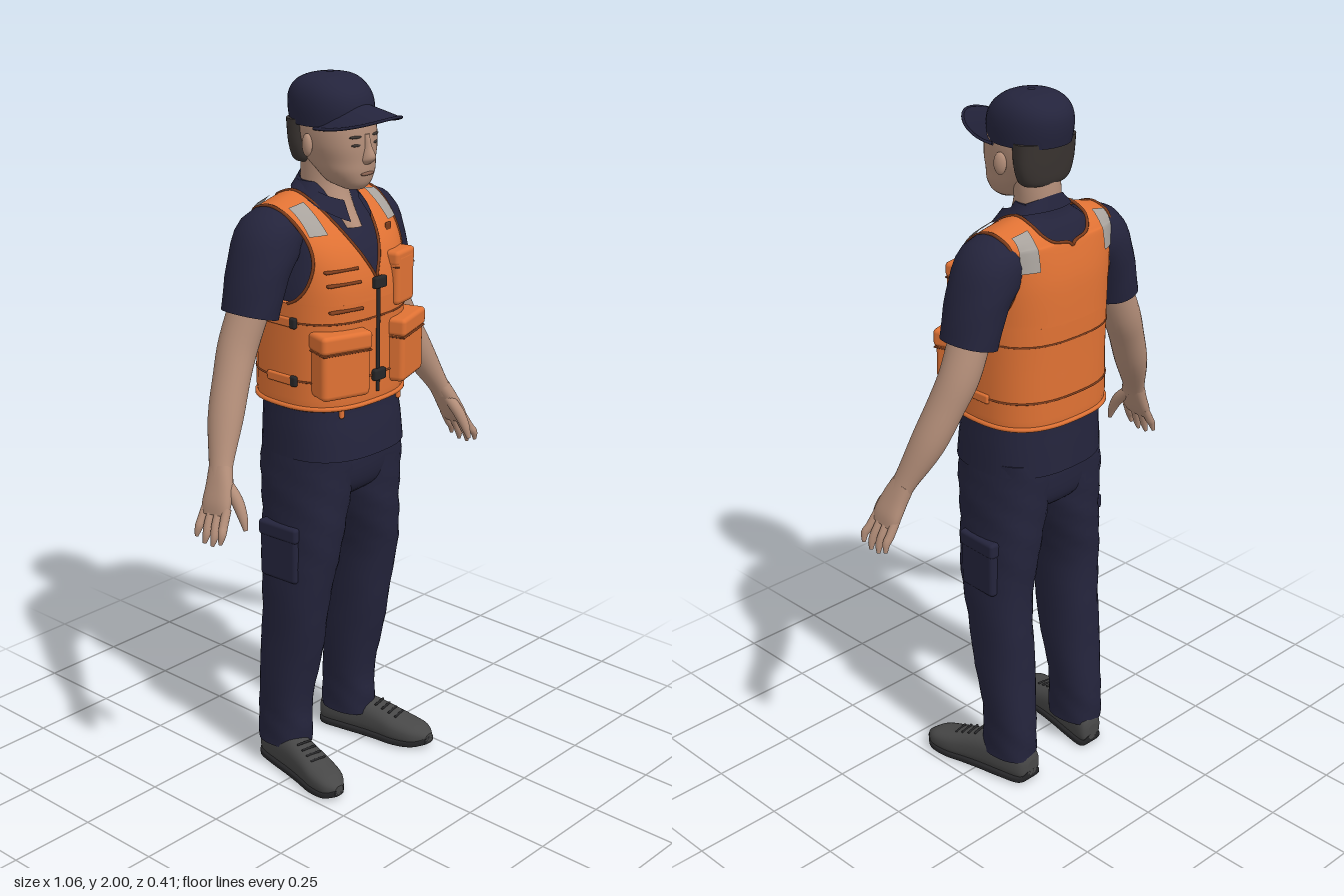
import * as THREE from 'three';
import { RoundedBoxGeometry } from 'three/addons/geometries/RoundedBoxGeometry.js';

const V = (x, y, z) => new THREE.Vector3(x, y, z);
const lerp = THREE.MathUtils.lerp;
const flat = (name, color, side = THREE.FrontSide) => {
  const m = new THREE.MeshStandardMaterial({ color, side });
  m.name = name;
  return m;
};

// Smooth interpolation through rows of numbers
function sample(keys, t) {
  const last = keys.length - 1, i = Math.min(Math.floor(t), last - 1), f = t - i;
  const row = j => keys[Math.min(last, Math.max(0, j))];
  return keys[0].map((_, k) => {
    const [a, b, c, d] = [row(i - 1)[k], row(i)[k], row(i + 1)[k], row(i + 2)[k]];
    return b + 0.5 * f * (c - a + f * (2 * a - 5 * b + 4 * c - d + f * (3 * (b - c) + d - a)));
  });
}
const dense = (keys, k = 4) =>
  Array.from({ length: (keys.length - 1) * k + 1 }, (_, i) => sample(keys, i / k));

// Superellipse ring with half axes u and v, optionally wrinkled
function ring(c, u, v, n = 2, wrinkle = 0, seg = 36) {
  return Array.from({ length: seg }, (_, i) => {
    const a = i / seg * Math.PI * 2, p = q => Math.sign(q) * Math.abs(q) ** (2 / n);
    const w = 1 + wrinkle * Math.sin(3 * a + c.y * 45) * Math.sin(c.y * 23 + a);
    return c.clone().addScaledVector(u, p(Math.cos(a)) * w).addScaledVector(v, p(Math.sin(a)) * w);
  });
}

// Closed skin over a stack of rings, with sharp flat ends
function loft(rings) {
  const n = rings[0].length, pts = rings.flat(), idx = [];
  for (let r = 0; r < rings.length - 1; r++) for (let i = 0; i < n; i++) {
    const j = (i + 1) % n, a = r * n + i, b = r * n + j;
    idx.push(a, b, b + n, a, b + n, a + n);
  }
  [rings[0], rings[rings.length - 1]].forEach((end, e) => {
    const o = pts.length, c = V(0, 0, 0);
    end.forEach(p => c.addScaledVector(p, 1 / n));
    pts.push(...end, c);
    for (let i = 0; i < n; i++) {
      const j = (i + 1) % n;
      e ? idx.push(o + i, o + j, o + n) : idx.push(o + j, o + i, o + n);
    }
  });
  let vol = 0;
  for (let i = 0; i < idx.length; i += 3)
    vol += pts[idx[i]].dot(pts[idx[i + 1]].clone().cross(pts[idx[i + 2]]));
  if (vol < 0) idx.reverse();
  const g = new THREE.BufferGeometry().setFromPoints(pts).setIndex(idx);
  g.computeVertexNormals();
  return g;
}

// Stack of level sections: [y, half width, front z, back z, centre x]
const layers = (keys, n = 2, wrinkle = 0) => loft(dense(keys).map(([y, a, f, b, x = 0]) =>
  ring(V(x, y, (f + b) / 2), V(a, 0, 0), V(0, 0, (b - f) / 2), n, wrinkle)));

// Limb along a path: [x, y, z, radius across, radius front to back]
function limb(keys, s, n = 2, wrinkle = 0) {
  const rows = dense(keys), P = rows.map(r => V(r[0] * s, r[1], r[2]));
  return loft(rows.map((r, i) => {
    const t = P[Math.min(i + 1, P.length - 1)].clone().sub(P[Math.max(i - 1, 0)]).normalize();
    const v = V(0, 0, 1).addScaledVector(t, -t.z).normalize(), u = v.clone().cross(t);
    return ring(P[i], u.multiplyScalar(r[3]), v.multiplyScalar(r[4]), n, wrinkle, 24);
  }));
}

// Open sheet from fn(u, v)
function sheet(fn, nu, nv) {
  const g = new THREE.PlaneGeometry(1, 1, nu, nv), p = g.attributes.position;
  for (let i = 0; i < p.count; i++) p.setXYZ(i, ...fn(p.getX(i) + 0.5, p.getY(i) + 0.5).toArray());
  g.computeVertexNormals();
  return g;
}
const tube = (pts, r, closed = false) =>
  new THREE.TubeGeometry(new THREE.CatmullRomCurve3(pts, closed), pts.length * 2, r, 6, closed);

// Vest over the shoulder, front to back: [y, centre z, side z, inner x, outer x, slope]
const STRAP = [
  [1.42, .145, -.0275, 0, .199, 0], [1.47, .14, -.02, 0, .186, 0], [1.53, .122, -.01, .03, .174, 0],
  [1.58, .092, -.01, .055, .172, 0], [1.63, .045, -.02, .075, .178, .005], [1.67, -.01, -.04, .087, .184, .015],
  [1.692, -.07, -.07, .093, .186, .025], [1.677, -.125, -.1, .092, .186, .02], [1.657, -.15, -.11, .083, .184, .012],
  [1.637, -.168, -.1, .058, .182, .006], [1.618, -.178, -.09, 0, .18, 0], [1.53, -.195, -.06, 0, .174, 0],
  [1.42, -.2, -.0275, 0, .199, 0]];
const vestEdge = (t, k) => Math.max(0, sample(STRAP, t)[k]);
function vestPoint(t, x, s, out = 0) {
  const [y, zf, zm, xi, xo, drop] = sample(STRAP, t);
  const z = zm + (zf - zm) * Math.max(0, 1 - (x / .2) ** 2.6) ** (1 / 2.6);
  return V(x * s, y - drop * (x - xi) / (xo - xi) + out, z + (t < 6 ? out : -out));
}

export function createModel() {
  const model = new THREE.Group();
  model.name = 'worker';
  const navy = flat('navy cloth', 0x24243c, THREE.DoubleSide), orange = flat('orange cloth', 0xe07234, THREE.DoubleSide);
  const skin = flat('skin', 0xb28d78), shoe = flat('shoe grey', 0x474747), black = flat('black trim', 0x262628);
  const silver = flat('reflective grey', 0xa8a29c, THREE.DoubleSide), seam = flat('dark orange seam', 0x7c3c1c);
  const hair = flat('hair', 0x3a3431), lip = flat('lips', 0x86604f);
  const add = (name, geo, mat, x = 0, y = 0, z = 0, yaw = 0) => {
    const m = new THREE.Mesh(geo, mat);
    m.name = name;
    m.position.set(x, y, z);
    m.rotation.y = yaw;
    model.add(m);
    return m;
  };
  const box = (name, mat, w, h, d, x, y, z, yaw = 0, r = .006) =>
    add(name, new RoundedBoxGeometry(w, h, d, 2, Math.min(r, w / 2.1, h / 2.1, d / 2.1)), mat, x, y, z, yaw);
  const ball = (name, mat, rx, ry, rz, x, y, z, yaw = 0) =>
    add(name, new THREE.SphereGeometry(1, 16, 12), mat, x, y, z, yaw).scale.set(rx, ry, rz);

  // Head and face
  add('head', layers([[1.703, .025, .085, .03], [1.72, .05, .1, -.02], [1.75, .07, .106, -.05], [1.78, .08, .106, -.085],
    [1.82, .092, .106, -.105], [1.87, .096, .1, -.115], [1.91, .088, .088, -.11]], 2.3), skin);
  add('neck', layers([[1.6, .045, .078, -.1], [1.66, .058, .035, -.11], [1.72, .062, .012, -.112], [1.79, .066, .02, -.105]]), skin);
  add('nose', layers([[1.772, .012, .11, .09], [1.782, .019, .124, .08], [1.795, .017, .129, .08], [1.82, .011, .117, .08],
    [1.85, .011, .108, .08]]), skin);
  add('hair', layers([[1.765, .07, -.04, -.106], [1.78, .085, -.035, -.111], [1.82, .097, -.03, -.116], [1.88, .1, -.025, -.122]], 2.4), hair);
  ball('mouth', lip, .026, .005, .006, 0, 1.747, .105);
  for (const s of [1, -1]) {
    ball('ear', skin, .012, .03, .018, s * .1, 1.82, -.015, s * .3);
    ball('eye', hair, .015, .004, .004, s * .036, 1.824, .098, s * .25);
    ball('eyebrow', hair, .02, .004, .005, s * .037, 1.845, .096, s * .25);
  }

  // Cap
  add('capCrown', layers([[1.868, .101, .09, -.133], [1.91, .104, .095, -.14], [1.945, .1, .085, -.137], [1.972, .086, .06, -.118],
    [1.989, .06, .03, -.085], [1.996, .012, -.015, -.04]], 2.15), navy);
  ball('capButton', navy, .01, .005, .01, 0, 1.995, -.027);
  const brim = (u, v) => {
    const a = (u - .5) * Math.PI, q = Math.sin(a) ** 2;
    return V(Math.sin(a) * lerp(.099, .102, v), lerp(1.925 - .055 * q, 1.904 - .038 * q, v), lerp(.01 + .075 * Math.cos(a), .01 + .19 * Math.cos(a), v));
  };
  add('capBrim', sheet(brim, 28, 8), navy);
  add('capBrimEdge', tube(Array.from({ length: 21 }, (_, i) => brim(i / 20, 1)), .004), navy);

  // Shirt
  add('shirtBody', layers([[.985, .196, .152, -.188], [1.06, .194, .142, -.184], [1.13, .19, .13, -.18], [1.25, .187, .126, -.176],
    [1.42, .184, .128, -.185], [1.53, .165, .105, -.18], [1.6, .155, .06, -.158], [1.65, .135, .022, -.14],
    [1.685, .09, .005, -.122], [1.715, .068, -.01, -.115]], 2.5), navy);
  add('collar', sheet((u, v) => {
    const a = (u - .5) * 1.74 * Math.PI, f = (1 - Math.cos(a)) / 2;
    return V(Math.sin(a) * lerp(.069, .098, v), lerp(1.738 - .068 * f, 1.7 - .085 * f * f, v),
      -.04 - Math.cos(a) * lerp(.072 + .025 * f, .082 + .055 * f, v));
  }, 36, 4), navy);

  // Vest: lower wrap, hems and seams
  const wrap = (y, grow) => ring(V(0, y, -.0275), V(.2 + grow, 0, 0), V(0, 0, -.1725 - grow), 2.6);
  add('vestLower', loft([[1.13, -.004], [1.16, 0], [1.28, -.002], [1.37, 0], [1.42, 0]].map(r => wrap(...r))), orange);
  for (const y of [1.21, 1.37]) add('vestSeam', tube(wrap(y, -.001), .003, true), seam);
  add('vestHem', tube(wrap(1.135, -.002), .007, true), orange);
  box('zip', black, .012, .31, .008, 0, 1.315, .146);
  for (const y of [1.465, 1.21]) box('buckle', black, .046, .032, .018, 0, y, .15);

  for (const s of [1, -1]) {
    // Vest shoulder panels with piping and reflective patches
    add('vestUpper', sheet((u, v) => {
      const t = v * 12;
      return vestPoint(t, lerp(vestEdge(t, 3), vestEdge(t, 4), Math.sin(u * Math.PI / 2)), s);
    }, 14, 72), orange);
    const edge = (k, t0, t1) => tube(Array.from({ length: 37 }, (_, i) => {
      const t = lerp(t0, t1, i / 36);
      return vestPoint(t, vestEdge(t, k), s);
    }), .0045);
    add('armholePiping', edge(4, 0, 12), seam);
    add('necklinePiping', edge(3, 1, 10), seam);
    for (const [t0, t1] of [[3.3, 5.1], [7.1, 10.6]])
      add('reflectivePatch', sheet((u, v) => vestPoint(lerp(t0, t1, v), lerp(.118, .168, u), s, .005), 4, 10), silver);

    // Lower pockets, side tabs and hem tabs
    box('lowerPocket', orange, .145, .165, .075, s * .122, 1.255, .122, s * .32, .015);
    box('lowerPocketFlap', orange, .152, .05, .086, s * .122, 1.327, .122, s * .32, .012);
    box('lowerPocketSeam', seam, .148, .005, .081, s * .122, 1.3, .122, s * .32);
    for (const y of [1.21, 1.37]) {
      box('sideStrap', orange, .012, .026, .1, s * .2, y, -.02);
      box('sideBuckle', black, .014, .03, .022, s * .2, y, .025);
    }
    box('hemTab', orange, .014, .03, .012, s * .115, 1.12, .12);

    // Sleeves, arms and hands
    add('sleeve', limb([[.11, 1.605, -.07, .05, .07], [.185, 1.582, -.07, .083, .093], [.235, 1.5, -.068, .073, .092],
      [.266, 1.39, -.068, .066, .083]], s, 2.1, .015), navy);
    add('arm', limb([[.255, 1.43, -.07, .05, .06], [.303, 1.32, -.074, .052, .056], [.342, 1.24, -.062, .047, .053],
      [.39, 1.14, -.04, .043, .05], [.44, 1.04, -.008, .027, .036], [.456, 1.005, .004, .024, .036]], s), skin);
    add('palm', limb([[.446, 1.03, -.004, .024, .034], [.466, .985, .01, .022, .042], [.485, .945, .018, .019, .047],
      [.497, .918, .022, .012, .044]], s, 2.4), skin);
    for (const o of [-.036, -.012, .012, .036]) {
      const len = Math.abs(o + .006) < .02 ? 0 : .012;
      add('finger', limb([[.485, .94, .02 + o, .012, .012], [.508, .9, .025 + o * 1.12, .012, .0115],
        [.52, .87 + len, .029 + o * 1.2, .0105, .0105], [.526, .846 + len, .027 + o * 1.22, .005, .005]], s), skin);
    }
    add('thumb', limb([[.455, 1, .02, .016, .016], [.456, .96, .062, .016, .017], [.459, .92, .087, .013, .013],
      [.461, .885, .1, .006, .006]], s), skin);

    // Trouser leg and cargo pocket
    add('trouserLeg', layers([[.075, .063, 0, -.16, s * .136], [.13, .064, .004, -.162, s * .136], [.22, .066, .006, -.16, s * .135],
      [.4, .075, .042, -.145, s * .133], [.6, .078, .08, -.14, s * .133], [.72, .087, .098, -.148, s * .12],
      [.82, .094, .11, -.158, s * .107], [.92, .098, .115, -.162, s * .1], [1.02, .096, .115, -.16, s * .097]], 2.3, .035), navy);
    box('cargoPocket', navy, .03, .16, .13, s * .2, .7, -.03, s * -.05, .012);
    box('cargoFlap', navy, .036, .045, .136, s * .2, .765, -.03, s * -.05, .01);

    // Shoe: [z, bottom, top, half width]
    const SHOE = [[-.163, .02, .07, .018], [-.148, .004, .1, .04], [-.08, .004, .112, .046], [-.02, .004, .112, .046],
      [.04, .004, .098, .048], [.1, .004, .08, .052], [.155, .008, .066, .043], [.187, .018, .045, .016]];
    const cx = z => s * (.13 + (z + .15) * .2);
    add('shoe', loft(dense(SHOE).map(([z, b, t, w]) =>
      ring(V(cx(z), (b + t) / 2, z), V(w, 0, 0), V(0, (t - b) / 2, 0), 2.5))), shoe);
    add('sole', loft(dense(SHOE).map(([z, b, , w]) =>
      ring(V(cx(z), b + .008, z), V(w + .002, 0, 0), V(0, .012, 0), 4))), black);
    for (let i = 0; i < 4; i++) {
      const z = .02 + i * .022;
      box('lace', black, .05, .006, .007, cx(z), .105 - i * .0072, z, s * .2);
    }
  }

  // Trouser seat
  add('trouserSeat', layers([[.845, .06, .06, -.11], [.88, .17, .1, -.15], [.94, .194, .116, -.162], [1.03, .19, .116, -.162]], 2.5), navy);

  // Chest details: pocket on the left, zipped slits on the right
  box('chestPocket', orange, .09, .14, .05, .11, 1.452, .122, .2, .014);
  box('chestPocketFlap', orange, .096, .042, .06, .11, 1.51, .116, .2, .012);
  box('chestPocketSeam', seam, .092, .004, .055, .11, 1.488, .118, .2);
  box('chestLoop', seam, .026, .04, .008, .11, 1.575, .082, .2);
  for (const [y, z] of [[1.51, .112], [1.475, .122], [1.405, .13]])
    box('chestSlit', seam, .105, .008, .016, -.108, y, z, -.24);
  return model;
}
